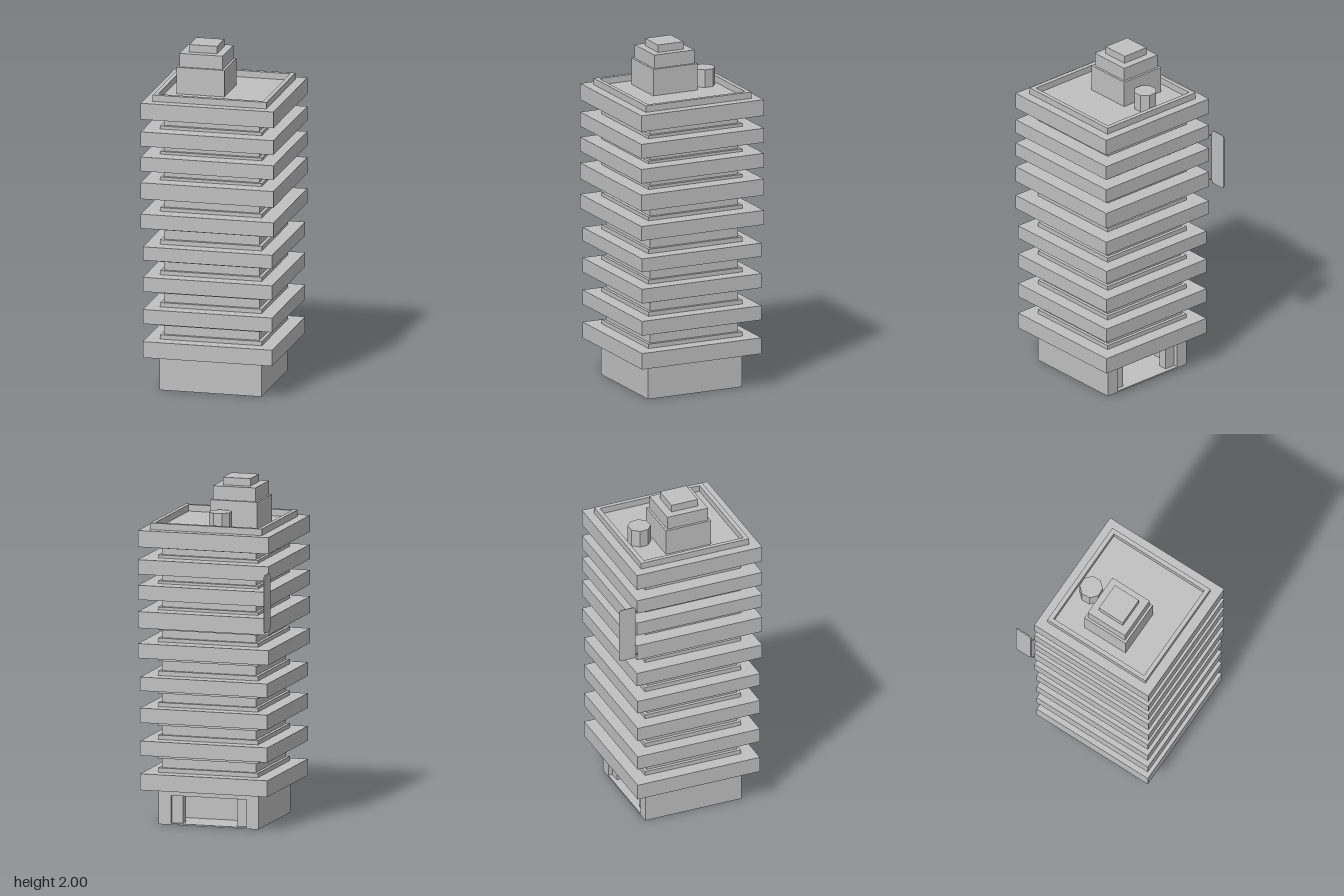
import * as THREE from 'three';

const concrete = new THREE.MeshStandardMaterial({ color: 0xc0c0c0 });
concrete.name = 'concrete grey';

export function createModel() {
  const model = new THREE.Group();
  model.name = 'towerBlock';
  const CX = 0.006, CZ = 0.06; // axis of the tower

  function add(name, geometry) {
    const mesh = new THREE.Mesh(geometry, concrete);
    mesh.name = name;
    model.add(mesh);
    return mesh;
  }
  // box given by its bounds
  function block(name, x0, x1, y0, y1, z0, z1) {
    add(name, new THREE.BoxGeometry(x1 - x0, y1 - y0, z1 - z0))
      .position.set((x0 + x1) / 2, (y0 + y1) / 2, (z0 + z1) / 2);
  }
  // square storey centred on the tower axis
  function storey(name, width, y0, y1) {
    const h = width / 2;
    block(name, CX - h, CX + h, y0, y1, CZ - h, CZ + h);
  }
  // plan outline given as [x, z] points
  const plan = (pts) => pts.map(([x, z]) => new THREE.Vector2(x, -z));
  const rect = (x0, x1, z0, z1) => plan([[x0, z1], [x1, z1], [x1, z0], [x0, z0]]);
  function raise(name, shape, y0, y1) {
    const g = new THREE.ExtrudeGeometry(shape, { depth: y1 - y0, bevelEnabled: false });
    add(name, g.rotateX(-Math.PI / 2).translate(0, y0, 0));
  }

  // base with an entrance recess in the back
  const B = { x0: -0.297, x1: 0.305, z0: -0.24, z1: 0.363 };
  raise('baseWalls', new THREE.Shape(plan([
    [B.x0, B.z1], [B.x1, B.z1], [B.x1, B.z0], [0.23, B.z0], [0.23, -0.03],
    [-0.225, -0.03], [-0.225, B.z0], [B.x0, B.z0],
  ])), 0, 0.17);
  block('baseLintel', B.x0, B.x1, 0.17, 0.2, B.z0, B.z1);
  block('entranceFloor', -0.225, 0.23, 0, 0.008, B.z0, -0.03);
  block('entrancePost', 0.165, 0.23, 0.008, 0.17, -0.215, -0.16);
  block('entrancePost', -0.225, -0.16, 0.008, 0.17, -0.215, -0.16);

  // sloping soffit under the first slab
  const soffit = new THREE.CylinderGeometry(0.765 / Math.SQRT2, 0.602 / Math.SQRT2, 0.014, 4, 1);
  soffit.rotateY(Math.PI / 4);
  const soffitMesh = add('soffit', soffit.toNonIndexed());
  soffitMesh.geometry.computeVertexNormals();
  soffitMesh.position.set(CX, 0.2, CZ);

  // floor slabs [bottom, top, width] with a recessed window band between each pair
  const slabs = [
    [0.207, 0.302, 0.765], [0.408, 0.493, 0.765], [0.599, 0.684, 0.765],
    [0.785, 0.865, 0.765], [0.976, 1.061, 0.785], [1.151, 1.247, 0.785],
    [1.316, 1.4, 0.785], [1.464, 1.549, 0.785], [1.623, 1.719, 0.785],
  ];
  slabs.forEach(([y0, y1, w], i) => {
    storey('floorSlab', w, y0, y1);
    if (i === slabs.length - 1) return;
    const next = slabs[i + 1][0], rim = (next - y1) * 0.24;
    storey('lowerRim', 0.602, y1, y1 + rim);
    storey('windowBand', 0.564, y1 + rim, next - rim);
    storey('upperRim', 0.602, next - rim, next);
  });

  // roof parapet
  const parapet = new THREE.Shape(rect(-0.33, 0.342, -0.28, 0.395));
  parapet.holes.push(new THREE.Path(rect(-0.305, 0.317, -0.253, 0.369)));
  raise('parapet', parapet, 1.719, 1.757);

  // stepped roof house
  block('roofHouseLower', -0.239, 0.043, 1.719, 1.876, -0.085, 0.198);
  block('roofHouseMiddle', -0.225, 0.03, 1.876, 1.956, -0.071, 0.184);
  block('roofHouseTop', -0.18, -0.014, 1.956, 2, -0.025, 0.14);

  // eight-sided water tank
  const tank = new THREE.CylinderGeometry(0.067, 0.067, 0.105, 8).toNonIndexed();
  tank.computeVertexNormals();
  tank.rotateY(Math.PI / 8 + 0.05);
  add('waterTank', tank).position.set(-0.045, 1.7725, -0.168);

  // hanging sign panel at the back corner, drawn in the z-y plane
  const r = 0.018, w = 0.1, h = 0.336;
  const panel = new THREE.Shape();
  panel.moveTo(r, 0).lineTo(w - r, 0).quadraticCurveTo(w, 0, w, r)
    .lineTo(w, h - r).quadraticCurveTo(w, h, w - r, h)
    .lineTo(r, h).quadraticCurveTo(0, h, 0, h - r)
    .lineTo(0, r).quadraticCurveTo(0, 0, r, 0);
  const sign = new THREE.ExtrudeGeometry(panel, {
    depth: 0.002, bevelThickness: 0.003, bevelSize: 0.002, bevelSegments: 2, curveSegments: 4,
  });
  sign.rotateY(Math.PI / 2);
  add('signPanel', sign).position.set(-0.4, 1.181, -0.348);

  // curved sign brackets
  for (const y of [1.198, 1.482]) {
    const path = new THREE.CatmullRomCurve3([
      [-0.383, -0.331], [-0.392, -0.333], [-0.398, -0.339], [-0.399, -0.355],
    ].map(([x, z]) => new THREE.Vector3(x, y, z)));
    add('signBracket', new THREE.TubeGeometry(path, 8, 0.004, 6));
  }
  return model;
}
